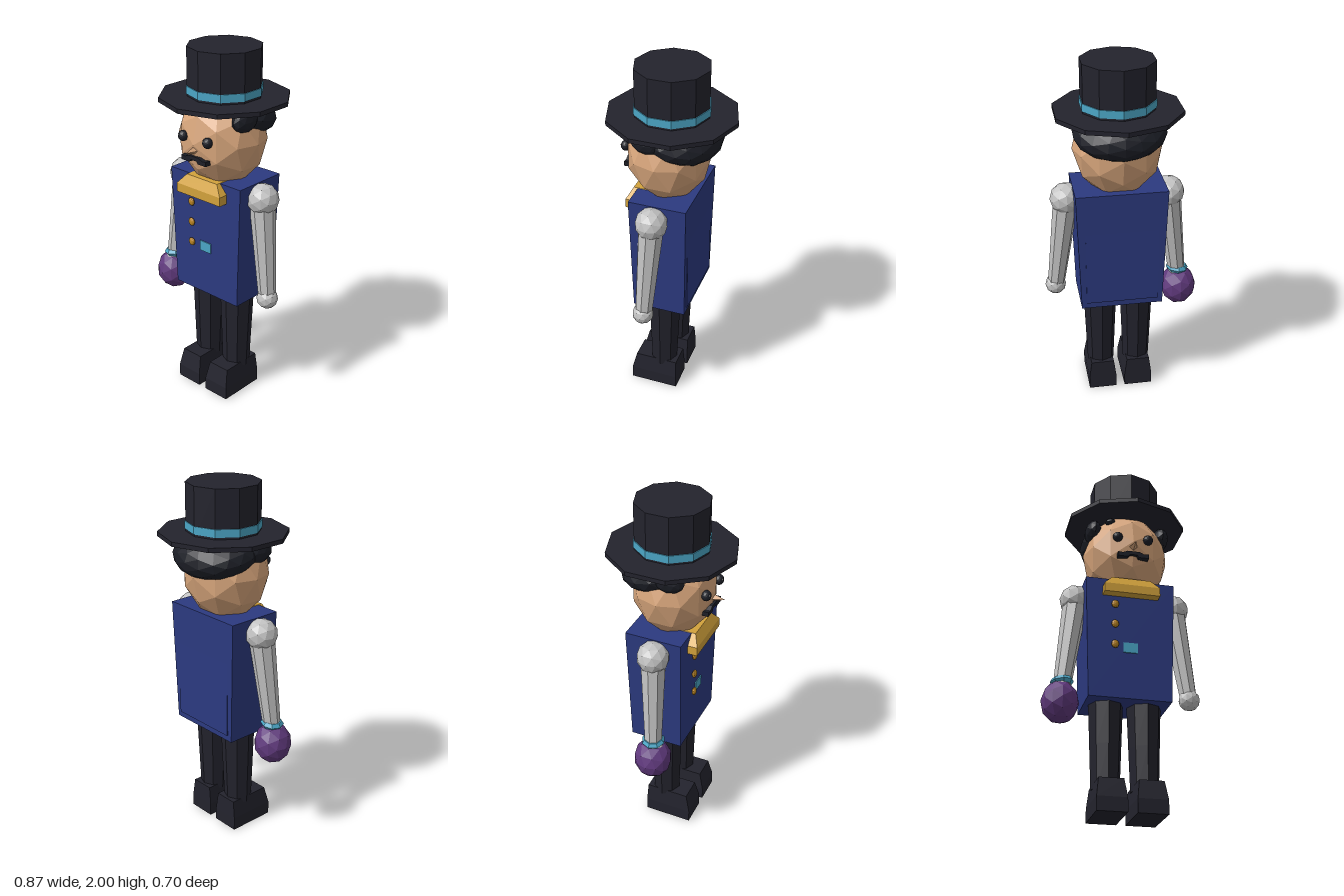
import * as THREE from 'three';

const mat = (name, color) => {
  const m = new THREE.MeshStandardMaterial({ color, flatShading: true });
  m.name = name;
  return m;
};

export function createModel() {
  const root = new THREE.Group();
  root.name = 'gentlemanFigure';
  const body = new THREE.Group();
  body.name = 'body';
  body.position.x = 0.022;
  root.add(body);

  const dark = mat('charcoal', 0x23232d);
  const hairMat = mat('hairBlack', 0x1d1f27);
  const skin = mat('skin', 0xd8a67c);
  const blue = mat('coatBlue', 0x2c3a80);
  const gold = mat('gold', 0xd2a23c);
  const brass = mat('buttonBrass', 0xb98422);
  const teal = mat('teal', 0x4ba6c6);
  const purple = mat('glovePurple', 0x613a7e);
  const grey = mat('sleeveGrey', 0xc2c2c2);

  const add = (name, geo, material, x = 0, y = 0, z = 0) => {
    const m = new THREE.Mesh(geo, material);
    m.name = name;
    m.position.set(x, y, z);
    body.add(m);
    return m;
  };
  // Faceted ellipsoid
  const ball = (name, material, [x, y, z], [rx, ry, rz], detail = 1) =>
    add(name, new THREE.IcosahedronGeometry(1, detail).scale(rx, ry, rz), material, x, y, z);
  // Box stretched through rows of [y, half width, back z, front z], bottom first
  const loft = (name, material, rows, x = 0) => {
    const n = rows.length - 1;
    const g = new THREE.BoxGeometry(1, 1, 1, 1, n, 1);
    const p = g.attributes.position;
    for (let i = 0; i < p.count; i++) {
      const [y, w, back, front] = rows[Math.round((p.getY(i) + 0.5) * n)];
      p.setXYZ(i, Math.sign(p.getX(i)) * w, y, p.getZ(i) > 0 ? front : back);
    }
    return add(name, g, material, x);
  };
  // Tapered eight-sided limb between two points
  const limb = (name, material, a, b, ra, rb) => {
    const from = new THREE.Vector3(...a), to = new THREE.Vector3(...b);
    const dir = from.clone().sub(to);
    const g = new THREE.CylinderGeometry(ra, rb, dir.length(), 8, 2);
    const m = add(name, g, material);
    m.position.copy(from).add(to).multiplyScalar(0.5);
    m.quaternion.setFromUnitVectors(new THREE.Vector3(0, 1, 0), dir.normalize());
    return m;
  };

  // Top hat
  add('hatBrim', new THREE.CylinderGeometry(0.35, 0.35, 0.024, 10), dark, 0, 1.728);
  add('hatCrown', new THREE.CylinderGeometry(0.2, 0.2, 0.27, 10), dark, 0, 1.865);
  add('hatBand', new THREE.CylinderGeometry(0.205, 0.205, 0.042, 10), teal, 0, 1.773);

  // Head and hair
  ball('head', skin, [0, 1.52, 0.015], [0.245, 0.275, 0.228]);
  ball('hair', hairMat, [0, 1.632, -0.06], [0.25, 0.125, 0.212], 2).rotation.x = -0.2;
  for (const s of [-1, 1]) {
    ball('sideLock', hairMat, [s * 0.197, 1.655, 0.065], [0.048, 0.065, 0.088]);
  }
  ball('fringeTuft', hairMat, [-0.11, 1.69, 0.14], [0.03, 0.022, 0.03]);

  // Face
  for (const s of [-1, 1]) {
    ball('eye', hairMat, [s * 0.087, 1.548, 0.226], [0.028, 0.029, 0.026], 2);
    ball('eyeGlint', grey, [s * 0.087 - 0.009, 1.557, 0.247], [0.006, 0.006, 0.005], 0);
  }
  const nose = add('nose', new THREE.ConeGeometry(0.03, 0.09, 4), skin, 0, 1.49, 0.252);
  nose.rotation.x = Math.PI / 2;
  const lip = new THREE.Shape([
    [-0.087, 1.422], [-0.03, 1.422], [-0.02, 1.436], [0.02, 1.436], [0.03, 1.422], [0.087, 1.422],
    [0.087, 1.448], [0.06, 1.445], [0.035, 1.457], [-0.035, 1.457], [-0.06, 1.445], [-0.087, 1.448],
  ].map(([x, y]) => new THREE.Vector2(x, y)));
  add('moustache', new THREE.ExtrudeGeometry(lip, { depth: 0.06, bevelEnabled: false }), hairMat, 0, 0, 0.18);

  // Coat with its back panel
  loft('coat', blue, [[0.615, 0.227, -0.148, 0.15], [1.312, 0.25, -0.16, 0.157]]);
  loft('coatTail', blue, [[0.65, 0.2, -0.156, -0.1], [1.2, 0.2, -0.156, -0.1]]);
  loft('collar', gold, [
    [1.21, 0.156, 0.05, 0.21], [1.26, 0.156, 0.05, 0.21], [1.314, 0.109, 0.05, 0.18],
  ]);
  for (const y of [0.915, 1.035, 1.155]) {
    ball('button', brass, [-0.088, y, 0.17], [0.021, 0.024, 0.012]);
  }
  add('pocketSquare', new THREE.BoxGeometry(0.078, 0.058, 0.009), teal, 0, 0.905, 0.154);

  // Arms and legs
  for (const s of [-1, 1]) {
    ball('shoulder', grey, [s * 0.284, 1.23, 0.015], [0.088, 0.088, 0.088]);
    limb('arm', grey, [s * 0.284, 1.21, 0.017], [s * 0.35, 0.69, 0.042], 0.07, 0.048);
    ball('hand', grey, [s * 0.354, 0.675, 0.045], [0.059, 0.059, 0.059]);
    limb('leg', dark, [s * 0.105, 0.62, 0.01], [s * 0.105, 0.15, 0.014], 0.095, 0.077);
    loft('shoe', dark, [
      [0, 0.08, -0.085, 0.19], [0.075, 0.08, -0.084, 0.19], [0.178, 0.066, -0.08, 0.165],
    ], s * 0.105);
  }

  // Boxing-style glove and cuff on the right hand
  ball('glove', purple, [-0.358, 0.605, 0.042], [0.103, 0.118, 0.105]);
  const cuff = add('gloveCuff', new THREE.TorusGeometry(0.045, 0.02, 5, 8), teal, -0.35, 0.722, 0.042);
  cuff.rotation.set(Math.PI / 2, 0.12, 0);

  return root;
}
